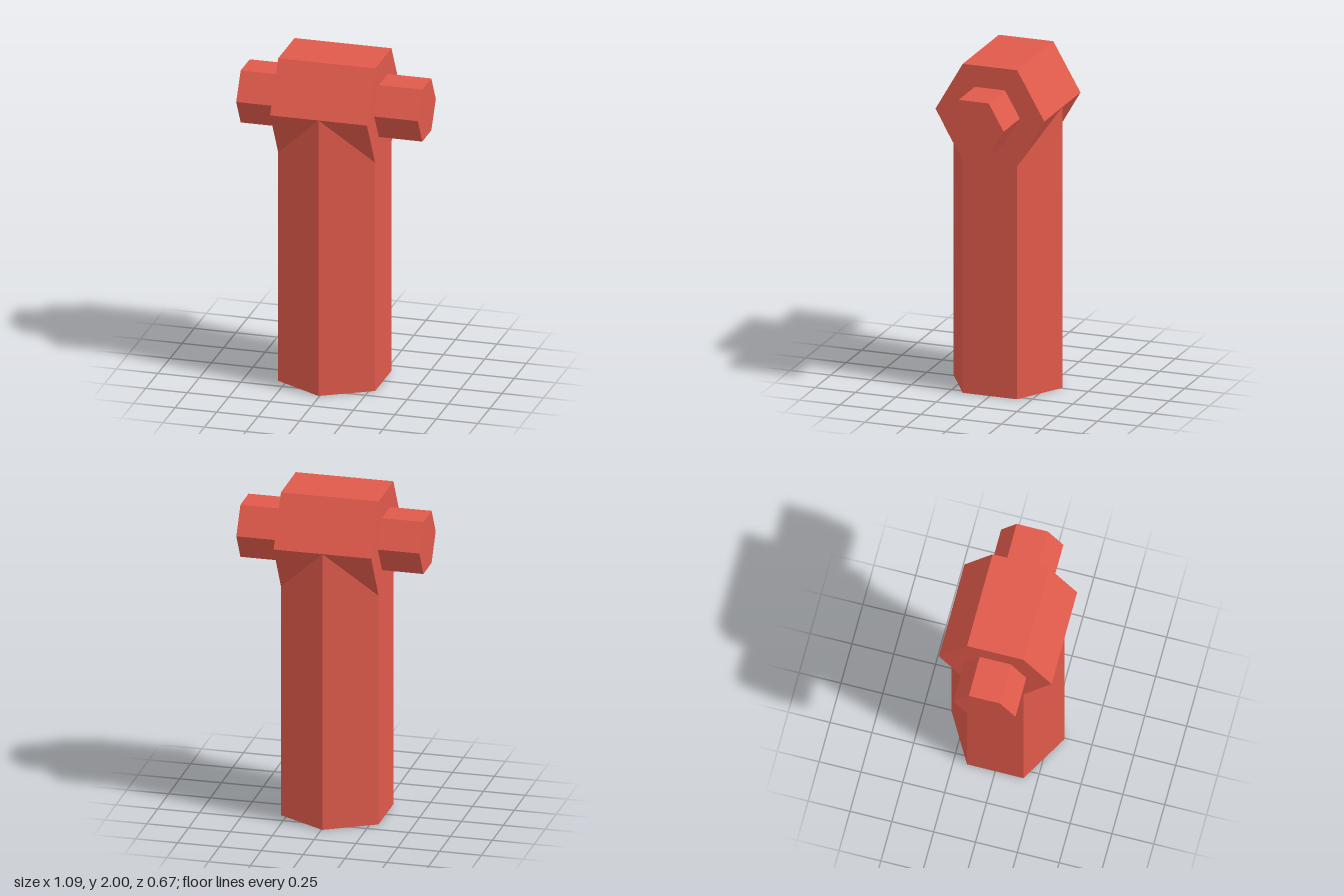
import * as THREE from 'three';

export function createModel() {
  const model = new THREE.Group();
  model.name = 'hexMallet';

  const red = new THREE.MeshStandardMaterial({ color: 0xe05a4b });
  red.name = 'coral red';
  red.flatShading = true;

  const headY = 1.708;   // height of the horizontal axis
  const centreX = -0.007; // column and head sit slightly off centre
  const radius = 0.337;
  const apothem = radius * Math.cos(Math.PI / 6);

  // six-sided prism with corners pointing to +z and -z
  const hexPrism = (name, r, length, x, y, lyingDown) => {
    const geometry = new THREE.CylinderGeometry(r, r, length, 6);
    if (lyingDown) geometry.rotateZ(Math.PI / 2);
    const mesh = new THREE.Mesh(geometry, red);
    mesh.name = name;
    mesh.position.set(x, y, 0);
    model.add(mesh);
  };

  // upright column, mitred into the head
  hexPrism('column', radius, headY, centreX, headY / 2, false);

  // horizontal head, as long as the column is wide
  hexPrism('head', radius, apothem * 2, centreX, headY, true);

  // thin axle sticking out of both ends of the head
  hexPrism('axle', 0.186, 1.094, 0, headY, true);

  return model;
}
